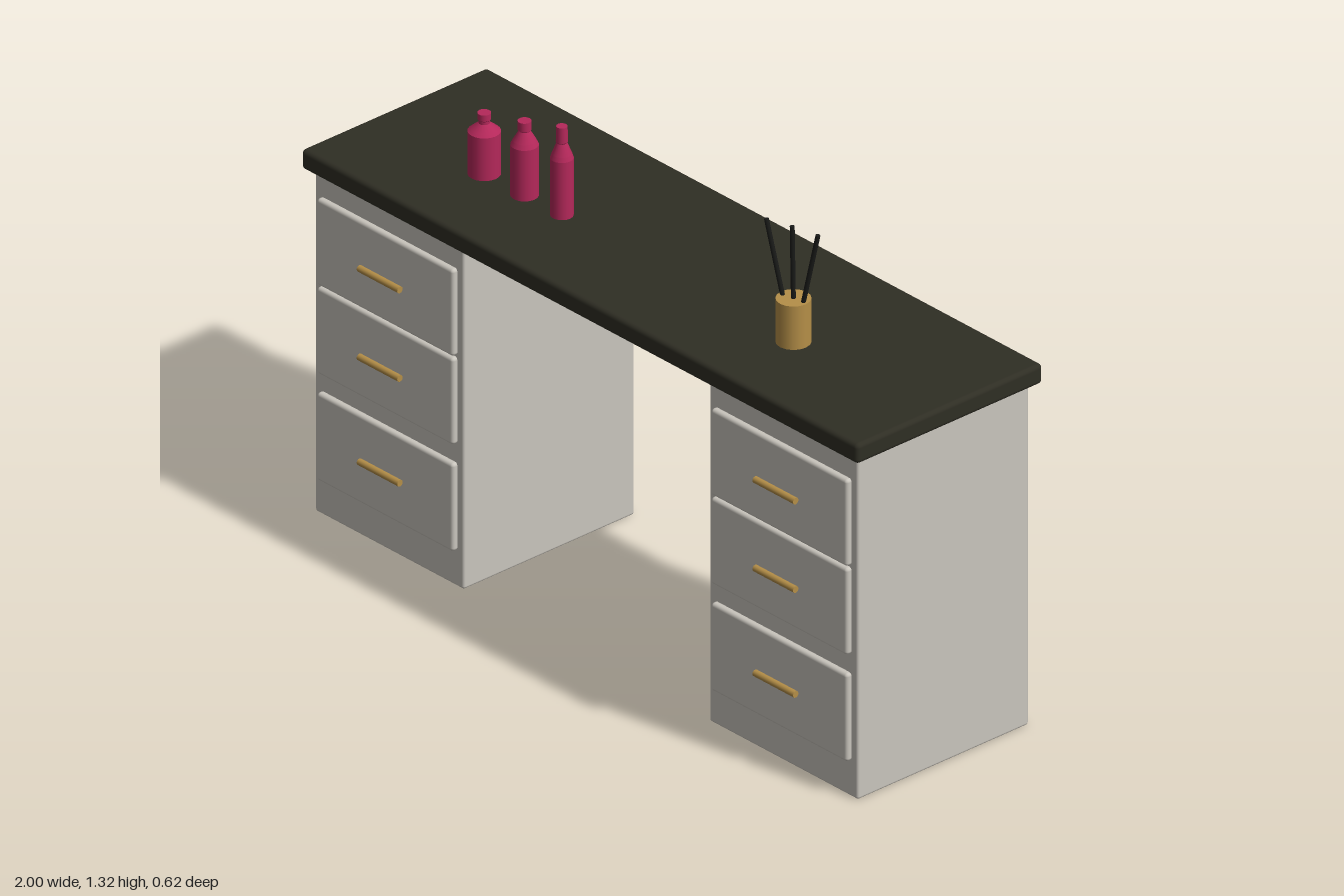
import * as THREE from 'three';
import { RoundedBoxGeometry } from 'three/addons/geometries/RoundedBoxGeometry.js';

const mat = (name, color) => {
  const m = new THREE.MeshStandardMaterial({ color });
  m.name = name;
  return m;
};

export function createModel() {
  const desk = new THREE.Group();
  desk.name = 'desk';
  const darkTop = mat('dark top', 0x2f2e24);
  const paleGrey = mat('pale grey', 0xc9c5bd);
  const crimson = mat('crimson', 0xb4285a);
  const brass = mat('brass', 0xb58f48);
  const black = mat('black', 0x191a18);

  const add = (parent, name, geometry, material, x = 0, y = 0, z = 0) => {
    const mesh = new THREE.Mesh(geometry, material);
    mesh.name = name;
    mesh.position.set(x, y, z);
    parent.add(mesh);
    return mesh;
  };

  // Box with softened edges, given by its limits on each axis
  const softBox = (parent, name, material, [x0, x1], [y0, y1], [z0, z1], r) =>
    add(parent, name, new RoundedBoxGeometry(x1 - x0, y1 - y0, z1 - z0, 3, r), material,
      (x0 + x1) / 2, (y0 + y1) / 2, (z0 + z1) / 2);

  // Worktop
  softBox(desk, 'worktop', darkTop, [-1, 1], [0.945, 1], [-0.311, 0.297], 0.012);

  // Two drawer cabinets
  const drawers = [[0.64, 0.88, 0.76], [0.395, 0.635, 0.515], [0.1, 0.343, 0.225]];
  for (const side of [-1, 1]) {
    const cabinet = new THREE.Group();
    cabinet.name = side < 0 ? 'rightCabinet' : 'leftCabinet';
    cabinet.position.x = side * 0.708;
    softBox(cabinet, 'cabinetBody', paleGrey, [-0.267, 0.267], [0, 0.941], [-0.287, 0.273], 0.007);
    for (const [y0, y1, handleY] of drawers) {
      softBox(cabinet, 'drawerFront', paleGrey, [-0.245, 0.245], [y0, y1], [0.267, 0.289], 0.009);
      const handle = add(cabinet, 'handle', new THREE.CylinderGeometry(0.009, 0.009, 0.146, 12), brass,
        -0.003 * Math.sign(-side), handleY, 0.302);
      handle.rotation.z = Math.PI / 2;
    }
    desk.add(cabinet);
  }

  // Bottles: radius and height pairs, with hard rings repeated for crisp edges
  const bottle = (name, x, profile) => {
    const points = [];
    profile.forEach(([r, y], i) => {
      const copies = i > 0 && i < profile.length - 1 ? 2 : 1;
      for (let k = 0; k < copies; k++) points.push(new THREE.Vector2(r, y));
    });
    add(desk, name, new THREE.LatheGeometry(points, 20), crimson, x, 1, 0.05);
  };
  bottle('shortBottle', -0.612, [[0, 0], [0.041, 0], [0.041, 0.118], [0.034, 0.124], [0.014, 0.14],
    [0.014, 0.148], [0.017, 0.151], [0.017, 0.168], [0, 0.168]]);
  bottle('mediumBottle', -0.467, [[0, 0], [0.035, 0], [0.035, 0.14], [0.029, 0.152], [0.014, 0.178],
    [0.017, 0.181], [0.017, 0.205], [0, 0.205]]);
  bottle('tallBottle', -0.333, [[0, 0], [0.029, 0], [0.029, 0.158], [0.025, 0.17], [0.013, 0.2],
    [0.015, 0.203], [0.014, 0.245], [0, 0.245]]);

  // Diffuser pot with three fanned reeds
  add(desk, 'diffuserPot', new THREE.CylinderGeometry(0.044, 0.044, 0.12, 16), brass, 0.511, 1.06, 0.061);
  const reeds = [
    [[0.482, 1.11, 0.068], [0.438, 1.318, 0.083]],
    [[0.511, 1.11, 0.061], [0.511, 1.32, 0.065]],
    [[0.54, 1.11, 0.057], [0.584, 1.318, 0.047]],
  ];
  for (const [from, to] of reeds) {
    const a = new THREE.Vector3(...from), b = new THREE.Vector3(...to);
    const dir = b.clone().sub(a);
    const reed = add(desk, 'reed', new THREE.CylinderGeometry(0.006, 0.006, dir.length(), 8), black);
    reed.position.copy(a).add(b).multiplyScalar(0.5);
    reed.quaternion.setFromUnitVectors(new THREE.Vector3(0, 1, 0), dir.normalize());
  }
  return desk;
}
